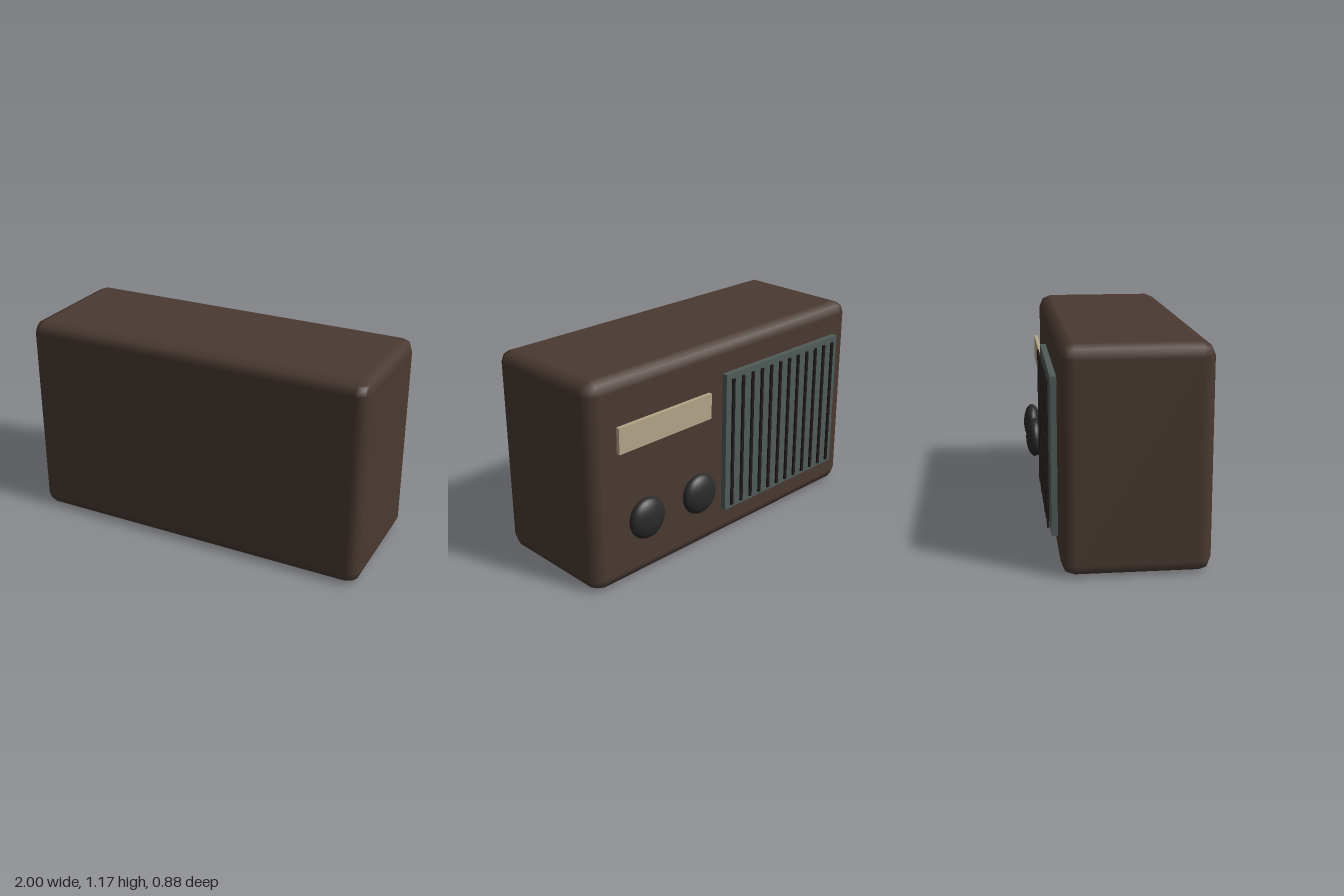
import * as THREE from 'three';
import { RoundedBoxGeometry } from 'three/addons/geometries/RoundedBoxGeometry.js';

const material = (name, color) => {
  const m = new THREE.MeshStandardMaterial({ color });
  m.name = name;
  return m;
};

export function createModel() {
  const brown = material('brownCase', 0x4a3a32);
  const grey = material('greyGrille', 0x505c59);
  const cream = material('creamDial', 0xb5a588);
  const black = material('blackKnob', 0x2a2a2a);
  const dark = material('darkSlat', 0x1e1a18);

  const group = new THREE.Group();
  group.name = 'radio';
  const add = (name, geometry, mat, x, y, z) => {
    const mesh = new THREE.Mesh(geometry, mat);
    mesh.name = name;
    mesh.position.set(x, y, z);
    group.add(mesh);
    return mesh;
  };

  // Rounded case
  add('case', new RoundedBoxGeometry(2, 1.175, 0.762, 1, 0.07), brown, 0, 0.5875, 0.061);

  // Speaker grille panel with raised vertical slats
  add('grillePanel', new THREE.BoxGeometry(0.94, 0.82, 0.032), grey, -0.385, 0.59, -0.344);
  const slat = new THREE.BoxGeometry(0.018, 0.765, 0.01);
  for (let i = 0; i < 12; i++) {
    add('grilleSlat', slat, dark, -0.797 + i * 0.0765, 0.59, -0.374);
  }

  // Tuning dial plate
  add('dialPlate', new THREE.BoxGeometry(0.65, 0.145, 0.021), cream, 0.525, 0.855, -0.35);

  // Flattened round knobs
  const knob = new THREE.SphereGeometry(1, 32, 20);
  for (const x of [0.32, 0.7]) {
    add('knob', knob, black, x, 0.385, -0.39).scale.set(0.115, 0.115, 0.052);
  }
  return group;
}
